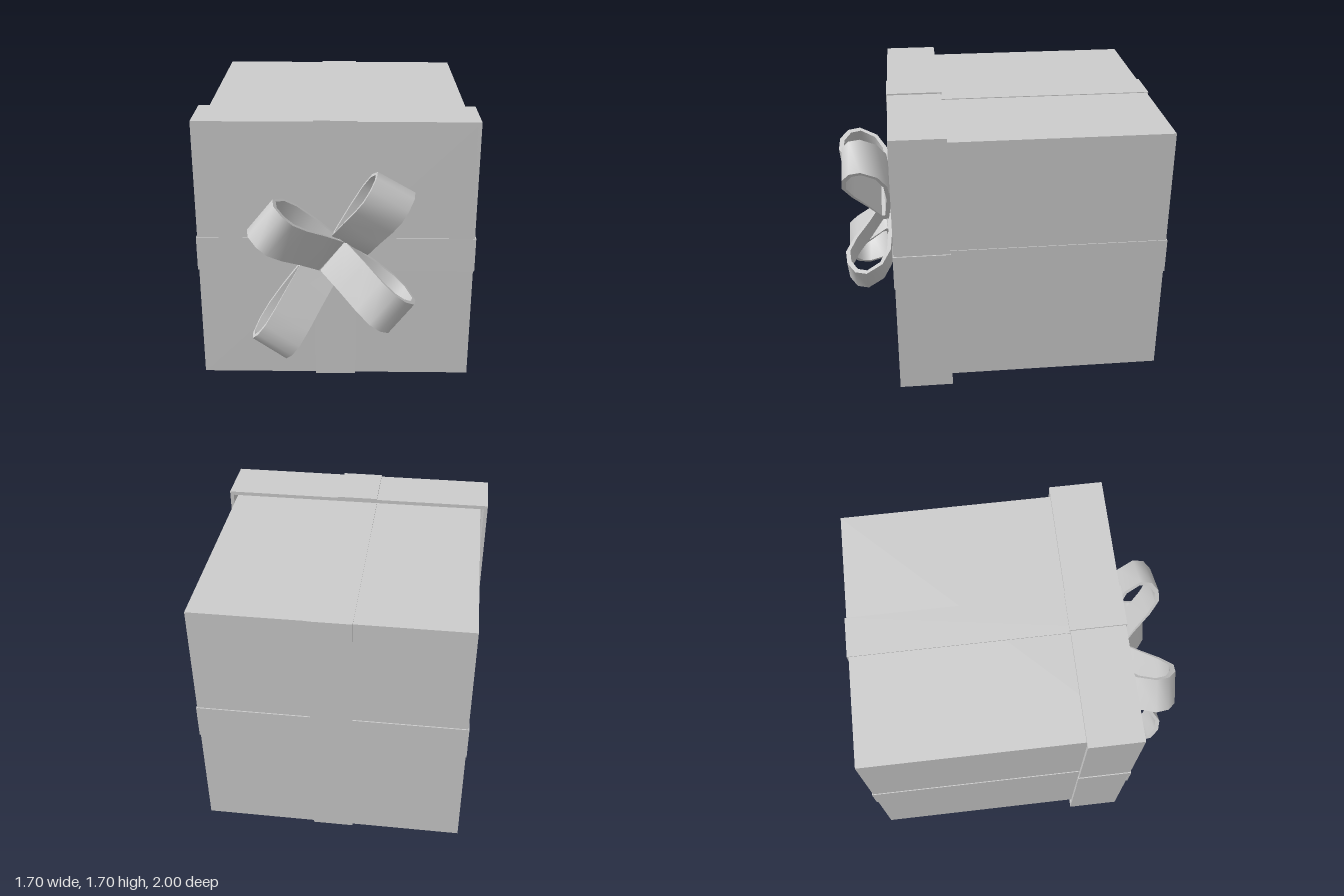
import * as THREE from 'three';
import { toCreasedNormals } from 'three/addons/utils/BufferGeometryUtils.js';

const grey = new THREE.MeshStandardMaterial({ color: 0xcccccc });
const CY = 0.853; // height of the box axis

function add(parent, name, geometry) {
  const mesh = new THREE.Mesh(geometry, grey);
  mesh.name = name;
  parent.add(mesh);
  return mesh;
}

// Box given by its minimum and maximum corners
function block(parent, name, [x0, y0, z0], [x1, y1, z1]) {
  const mesh = add(parent, name, new THREE.BoxGeometry(x1 - x0, y1 - y0, z1 - z0));
  mesh.position.set((x0 + x1) / 2, (y0 + y1) / 2, (z0 + z1) / 2);
  return mesh;
}

function rectangle(PathType, x0, y0, x1, y1) {
  return new PathType([[x0, y0], [x1, y0], [x1, y1], [x0, y1]].map(p => new THREE.Vector2(...p)));
}

// Teardrop section of a bow loop: x runs outward, y away from the lid
const teardrop = [
  [0, 0.02], [0.1, 0.008], [0.22, 0], [0.37, 0.015], [0.47, 0.07], [0.53, 0.17],
  [0.515, 0.24], [0.45, 0.288], [0.37, 0.295], [0.27, 0.24], [0.14, 0.14], [0, 0.045],
];

function bowLoopGeometry(width, height) {
  const outer = teardrop.map(([u, w]) => new THREE.Vector2(u, w * height));
  const inner = teardrop.map(([u, w]) =>
    new THREE.Vector2(0.33 + (u - 0.33) * 0.88, (0.145 + (w - 0.145) * 0.82) * height));
  const shape = new THREE.Shape(outer);
  shape.holes.push(new THREE.Path(inner));
  const geometry = new THREE.ExtrudeGeometry(shape, { depth: width, bevelEnabled: false });
  geometry.translate(0, 0, -width / 2);
  geometry.rotateX(Math.PI / 2);
  return toCreasedNormals(geometry, 1.0);
}

export function createModel() {
  const model = new THREE.Group();
  model.name = 'giftBox';

  // Box body lying on its side, lid towards the front
  block(model, 'boxBody', [-0.8, 0.06, -0.99], [0.8, 1.653, 0.61]);

  // Hollow lid: a rim plus a front panel
  const lid = new THREE.Group();
  lid.name = 'lid';
  model.add(lid);
  const rim = rectangle(THREE.Shape, -0.845, 0.01, 0.843, 1.695);
  rim.holes.push(rectangle(THREE.Path, -0.822, 0.033, 0.82, 1.672));
  const rimGeometry = new THREE.ExtrudeGeometry(rim, { depth: 0.33, bevelEnabled: false });
  add(lid, 'lidRim', rimGeometry).position.z = 0.32;
  block(lid, 'lidPanel', [-0.83, 0.02, 0.615], [0.83, 1.685, 0.65]);

  // Flat ribbons around the body
  const ribbon = new THREE.Group();
  ribbon.name = 'ribbon';
  model.add(ribbon);
  block(ribbon, 'bodyRibbonVertical', [-0.128, 0.055, -1], [0.122, 1.658, 0.6]);
  block(ribbon, 'bodyRibbonHorizontal', [-0.805, 0.743, -0.997], [0.805, 0.96, 0.6]);

  // Ribbons over the lid: front strips and four short side strips
  block(ribbon, 'lidRibbonVertical', [-0.13, 0.002, 0.64], [0.124, 1.702, 0.657]);
  block(ribbon, 'lidRibbonHorizontal', [-0.852, 0.743, 0.64], [0.85, 0.96, 0.655]);
  for (const s of [-1, 1]) {
    const y = CY + s * 0.843, x = s * 0.843;
    block(ribbon, 'lidRibbonEdge', [-0.13, y - 0.008, 0.315], [0.124, y + 0.008, 0.65]);
    block(ribbon, 'lidRibbonSide', [x - 0.008, 0.743, 0.315], [x + 0.008, 0.96, 0.65]);
  }

  // Bow: four loops fanned around the crossing [name, x, y, degrees, width, height scale]
  const bow = new THREE.Group();
  bow.name = 'bow';
  model.add(bow);
  const loops = [
    ['bowLoopUpperLeft', 0.085, 0.935, 60, 0.25, 1],
    ['bowLoopUpperRight', -0.025, 0.865, 141, 0.243, 1.15],
    ['bowLoopLowerRight', -0.1, 0.765, 234.7, 0.245, 1.08],
    ['bowLoopLowerLeft', -0.015, 0.86, -37.5, 0.248, 1.02],
  ];
  for (const [name, x, y, degrees, width, height] of loops) {
    const loop = add(bow, name, bowLoopGeometry(width, height));
    loop.position.set(x, y, 0.66);
    loop.rotation.z = THREE.MathUtils.degToRad(degrees);
  }
  return model;
}
